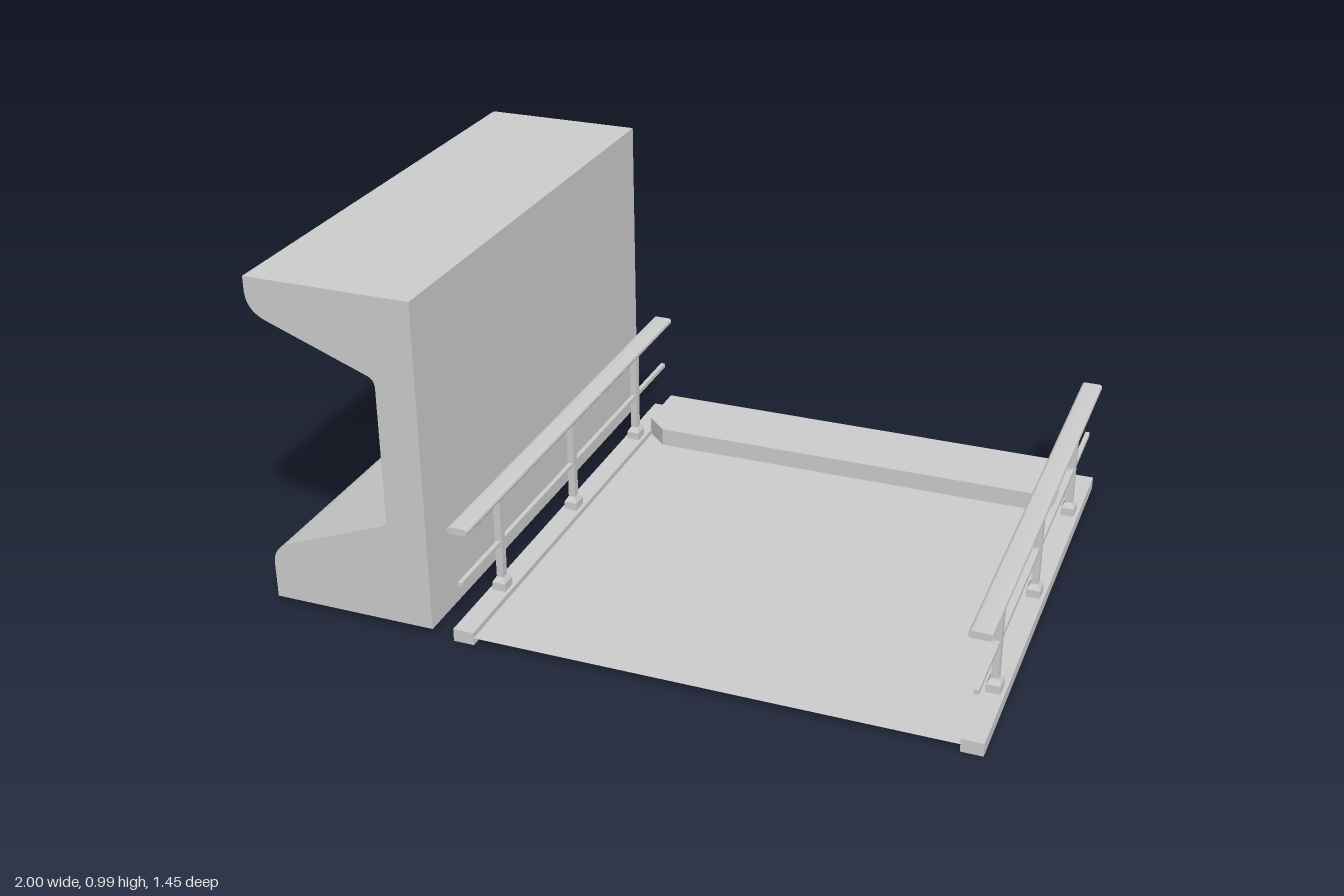
import * as THREE from 'three';
import { toCreasedNormals } from 'three/addons/utils/BufferGeometryUtils.js';

const LENGTH = 1.45;
const material = new THREE.MeshStandardMaterial({ color: 0xcccccc });
const thinMaterial = new THREE.MeshStandardMaterial({ color: 0xcccccc, side: THREE.DoubleSide });

function add(parent, name, geometry, x = 0, y = 0, z = 0, mat = material) {
  const mesh = new THREE.Mesh(geometry, mat);
  mesh.name = name;
  mesh.position.set(x, y, z);
  parent.add(mesh);
  return mesh;
}

// Extrude an x-y profile along the full length, centred on z
function extrudeAlongZ(shape, curveSegments = 8) {
  const geometry = new THREE.ExtrudeGeometry(shape, { depth: LENGTH, bevelEnabled: false, curveSegments });
  geometry.translate(0, 0, -LENGTH / 2);
  return toCreasedNormals(geometry, Math.PI / 6);
}

// Channel-shaped beam with sloping, rounded flanges
function beamGeometry() {
  const s = new THREE.Shape();
  s.moveTo(-0.52, 0.023);
  s.lineTo(-0.52, 0.985);
  s.lineTo(-1, 0.985);
  s.lineTo(-1, 0.945);
  s.quadraticCurveTo(-1, 0.89, -0.944, 0.868);
  s.lineTo(-0.655, 0.758);
  s.quadraticCurveTo(-0.636, 0.75, -0.636, 0.725);
  s.lineTo(-0.636, 0.345);
  s.quadraticCurveTo(-0.636, 0.321, -0.655, 0.314);
  s.lineTo(-0.944, 0.203);
  s.quadraticCurveTo(-1, 0.18, -1, 0.13);
  s.lineTo(-1, 0.023);
  s.closePath();
  return extrudeAlongZ(s, 12);
}

// Flat handrail section with rounded sides
function handrailGeometry() {
  const w = 0.03, h = 0.01, r = 0.01;
  const s = new THREE.Shape();
  s.moveTo(-w + r, -h);
  s.lineTo(w - r, -h);
  s.quadraticCurveTo(w, -h, w, 0);
  s.quadraticCurveTo(w, h, w - r, h);
  s.lineTo(-w + r, h);
  s.quadraticCurveTo(-w, h, -w, 0);
  s.quadraticCurveTo(-w, -h, -w + r, -h);
  return extrudeAlongZ(s, 4);
}

// Block whose top face is narrowed to the post size
function taperGeometry(w, h, d, topW, topD) {
  const geometry = new THREE.BoxGeometry(w, h, d).toNonIndexed();
  const p = geometry.attributes.position;
  for (let i = 0; i < p.count; i++) {
    if (p.getY(i) > 0) p.setXYZ(i, Math.sign(p.getX(i)) * topW / 2, h / 2, Math.sign(p.getZ(i)) * topD / 2);
  }
  geometry.computeVertexNormals();
  return geometry;
}

// Kerb with posts, middle rail and handrail
function railing(name, x) {
  const group = new THREE.Group();
  group.name = name;
  group.position.x = x;
  add(group, 'kerb', new THREE.BoxGeometry(0.06, 0.038, LENGTH), 0, 0.019);
  add(group, 'handrail', handrailGeometry(), 0, 0.345);
  add(group, 'middleRail', new THREE.BoxGeometry(0.013, 0.013, LENGTH), 0, 0.184);
  for (const z of [-0.485, 0, 0.485]) {
    add(group, 'post', new THREE.BoxGeometry(0.02, 0.298, 0.024), 0, 0.187, z);
    add(group, 'postBase', new THREE.BoxGeometry(0.039, 0.024, 0.046), 0, 0.05, z);
    add(group, 'postCollar', taperGeometry(0.039, 0.015, 0.046, 0.02, 0.024), 0, 0.0695, z);
  }
  return group;
}

export function createModel() {
  const model = new THREE.Group();
  model.name = 'beamAndBridgeDeck';
  add(model, 'channelBeam', beamGeometry());

  // Thin deck between the kerbs
  add(model, 'deck', new THREE.PlaneGeometry(1.34, LENGTH).rotateX(-Math.PI / 2), 0.27, 0.022, 0, thinMaterial);

  // Raised step with cut corners at the back
  const step = new THREE.Shape([
    [-0.67, 0.725], [-0.67, 0.55], [-0.605, 0.488],
    [0.605, 0.488], [0.67, 0.55], [0.67, 0.725],
  ].map(([x, y]) => new THREE.Vector2(x, y)));
  const stepGeometry = new THREE.ExtrudeGeometry(step, { depth: 0.055, bevelEnabled: false });
  add(model, 'backStep', stepGeometry.rotateX(-Math.PI / 2), 0.27, 0.023, 0);

  model.add(railing('rightRailing', -0.427), railing('leftRailing', 0.968));
  return model;
}
